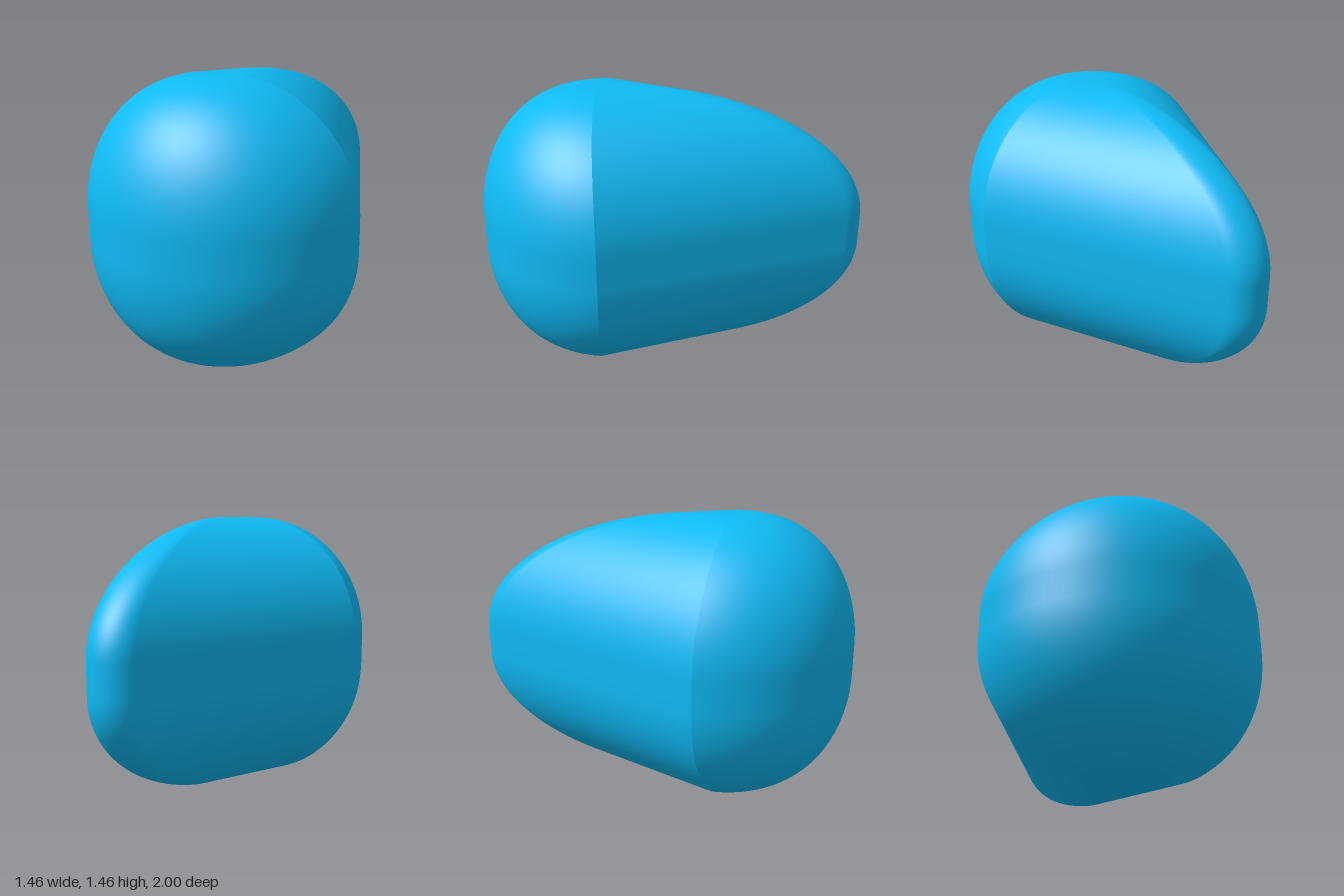
import * as THREE from 'three';

const HALF = 0.7275; // half width and half height
const FLAT = 0.08; // half length of the straight part of the upright profile
const ROUND = HALF - FLAT;
const CREASE_Z = 0.275; // where the round front meets the straight flanks
const TIP_R = 0.145; // radius of the narrow back edge

// Upright profile: [scale of the outline, height], a rounded square from bottom to top
function profile() {
  const rows = [[0, 0]];
  const steps = 36;
  for (const side of [-1, 1]) {
    for (let i = 0; i <= steps; i++) {
      const a = (side < 0 ? i / steps - 1 : i / steps) * Math.PI / 2;
      rows.push([
        (FLAT + ROUND * Math.cos(a)) / HALF,
        HALF + side * FLAT + ROUND * Math.sin(a),
      ]);
    }
  }
  rows.push([0, 2 * HALF]);
  return rows;
}

// Plan outline of the front: a half circle about the origin
function frontOutline() {
  const pts = [];
  for (let i = 0; i <= 72; i++) {
    const a = Math.PI * i / 72;
    pts.push([HALF * Math.cos(a), HALF * Math.sin(a)]);
  }
  return pts;
}

// Plan outline of the back: straight flank, round tip, straight flank
function backOutline() {
  const centre = -1 + TIP_R - CREASE_Z;
  const tilt = Math.atan2(1, 2); // slope of the flank normals
  const arc = [];
  for (let i = 0; i <= 28; i++) {
    const a = Math.PI + tilt + (Math.PI - 2 * tilt) * i / 28;
    arc.push([TIP_R * Math.cos(a), centre + TIP_R * Math.sin(a)]);
  }
  const pts = [];
  const n = 16;
  const first = arc[0];
  const last = arc[arc.length - 1];
  const mix = (a, b, t) => a + (b - a) * t;
  for (let i = 0; i < n; i++) pts.push([mix(-HALF, first[0], i / n), mix(0, first[1], i / n)]);
  pts.push(...arc);
  for (let i = 1; i <= n; i++) pts.push([mix(last[0], HALF, i / n), mix(last[1], 0, i / n)]);
  return pts;
}

// Stack scaled copies of an outline, drifting forward slightly towards top and bottom
function loft(outline) {
  const rows = profile();
  const positions = [];
  const index = [];
  const n = outline.length;
  for (const [s, y] of rows) {
    const z0 = CREASE_Z + 0.085 * (1 - s * s);
    for (const [x, z] of outline) positions.push(x * s, y, z0 + z * s);
  }
  for (let i = 0; i < rows.length - 1; i++) {
    for (let j = 0; j < n - 1; j++) {
      const a = i * n + j, b = a + 1, c = a + n, d = c + 1;
      if (i < rows.length - 2) index.push(a, c, b);
      else index.push(a, c, b); // flat top closes on its centre
      if (i < rows.length - 2) index.push(b, c, d);
    }
  }
  // Flat bottom: the first row is collapsed, so only its outer triangles remain
  const geometry = new THREE.BufferGeometry();
  geometry.setAttribute('position', new THREE.Float32BufferAttribute(positions, 3));
  geometry.setIndex(index);
  geometry.computeVertexNormals();
  return geometry;
}

export function createModel() {
  const group = new THREE.Group();
  group.name = 'teardropBody';
  const material = new THREE.MeshStandardMaterial({ color: 0x0fbaf5 });
  const parts = { roundFront: frontOutline(), taperedBack: backOutline() };
  for (const [name, outline] of Object.entries(parts)) {
    const mesh = new THREE.Mesh(loft(outline), material);
    mesh.name = name;
    group.add(mesh);
  }
  return group;
}
